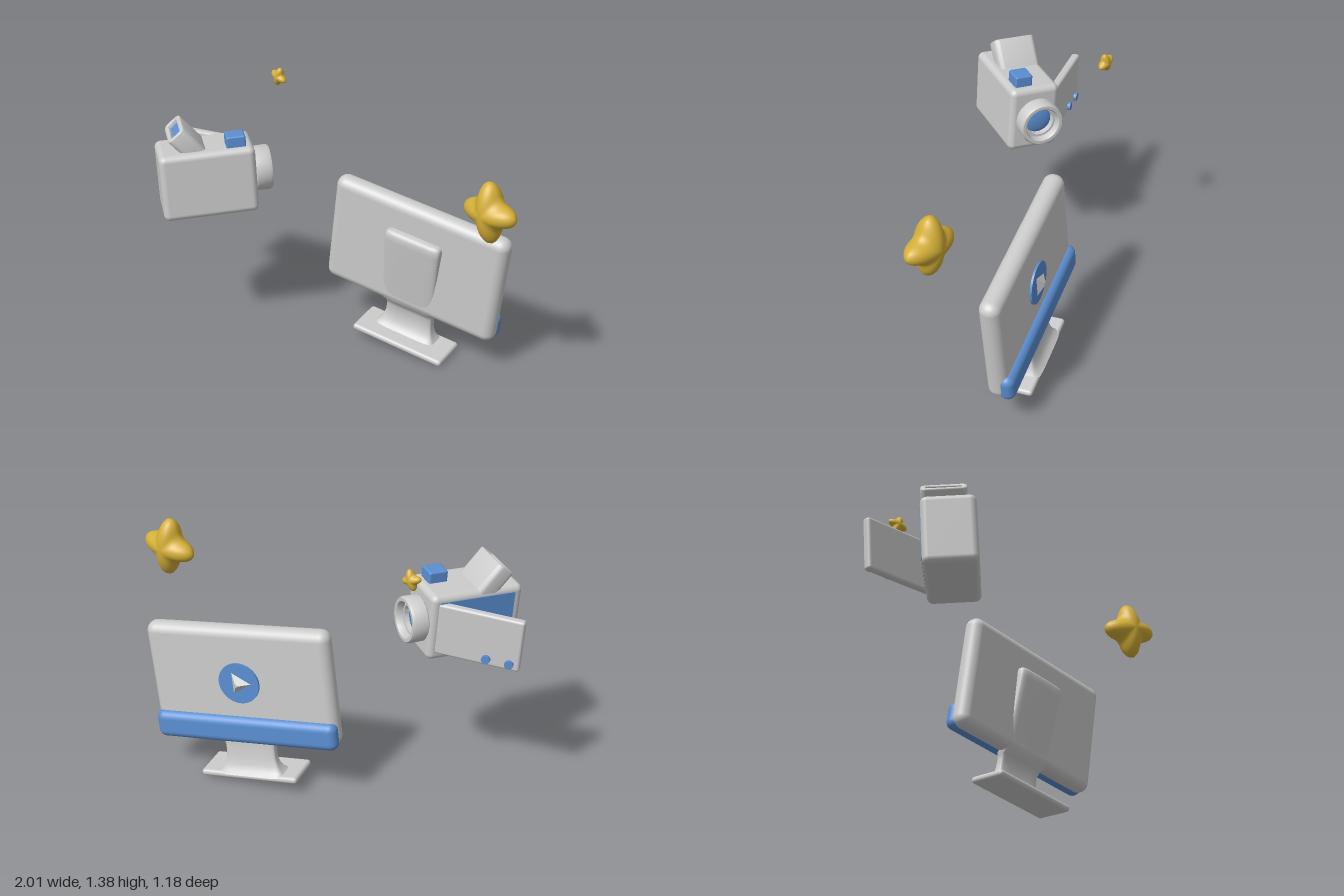
import * as THREE from 'three';
import { RoundedBoxGeometry } from 'three/addons/geometries/RoundedBoxGeometry.js';
import { mergeVertices, toCreasedNormals } from 'three/addons/utils/BufferGeometryUtils.js';

const flat = (name, color) => {
  const m = new THREE.MeshStandardMaterial({ color });
  m.name = name;
  return m;
};

// Adds a named mesh to a parent
function add(parent, name, geometry, material, x = 0, y = 0, z = 0) {
  const mesh = new THREE.Mesh(geometry, material);
  mesh.name = name;
  mesh.position.set(x, y, z);
  parent.add(mesh);
  return mesh;
}

// Group turned by yaw, then rolled in the front plane
function tilted(parent, name, pos, yaw, roll) {
  const g = new THREE.Group();
  g.name = name;
  g.position.set(...pos);
  g.rotation.set(0, yaw, roll, 'ZYX');
  parent.add(g);
  return g;
}

const box = (w, h, d, r) => new RoundedBoxGeometry(w, h, d, 5, r);

// Rounded rectangle outline
function roundRect(Type, w, h, r) {
  const s = new Type(), x = w / 2 - r, y = h / 2 - r;
  s.absarc(x, y, r, 0, Math.PI / 2);
  s.absarc(-x, y, r, Math.PI / 2, Math.PI);
  s.absarc(-x, -y, r, Math.PI, Math.PI * 1.5);
  s.absarc(x, -y, r, Math.PI * 1.5, Math.PI * 2);
  s.closePath();
  return s;
}

// Smooth column through squarish sections [y, half width, half depth, z centre]
function loft(sections, n = 48) {
  const pos = [], idx = [];
  const sq = v => Math.sign(v) * Math.pow(Math.abs(v), 0.35);
  sections.forEach(([y, w, d, zc], j) => {
    for (let i = 0; i < n; i++) {
      const t = (i / n) * Math.PI * 2;
      pos.push(w * sq(Math.cos(t)), y, zc + d * sq(Math.sin(t)));
      if (j + 1 < sections.length) {
        const a = j * n + i, b = j * n + (i + 1) % n;
        idx.push(a, a + n, b, b, a + n, b + n);
      }
    }
  });
  const g = new THREE.BufferGeometry();
  g.setAttribute('position', new THREE.Float32BufferAttribute(pos, 3));
  g.setIndex(idx);
  g.computeVertexNormals();
  return g;
}

// Puffy four-pointed star made from a sphere
function starGeometry() {
  let g = new THREE.SphereGeometry(1, 64, 32).rotateX(Math.PI / 2);
  const p = g.attributes.position;
  for (let i = 0; i < p.count; i++) {
    const x = p.getX(i), y = p.getY(i), z = p.getZ(i);
    const r = 0.098 + 0.06 * Math.pow((1 + Math.cos(4 * Math.atan2(y, x))) / 2, 1.3);
    p.setXYZ(i, x * r, y * r, 0.079 * Math.sign(z) * Math.pow(Math.abs(z), 1.15));
  }
  g.deleteAttribute('uv');
  g.deleteAttribute('normal');
  g = mergeVertices(g, 1e-5);
  g.computeVertexNormals();
  return g;
}

export function createModel() {
  const model = new THREE.Group();
  model.name = 'screenAndCamcorder';
  const grey = flat('light grey', 0xcccccc);
  const blue = flat('blue', 0x5b8fd2);
  const gold = flat('gold', 0xd4af37);

  // Monitor, its screen facing local -z
  const monitor = tilted(model, 'monitor', [0.255, 0.562, -0.378], 0.29, -0.13);
  add(monitor, 'monitorCase', box(1.0, 0.63, 0.11, 0.052), grey);
  add(monitor, 'chinBar', box(1.0, 0.15, 0.085, 0.042), blue, 0, -0.246, -0.046);
  add(monitor, 'playDisc', new THREE.CylinderGeometry(0.11, 0.11, 0.016, 48).rotateX(Math.PI / 2),
    blue, 0, 0.02, -0.058);
  const arrow = new THREE.CylinderGeometry(0.012, 0.068, 0.03, 3).toNonIndexed();
  arrow.computeVertexNormals();
  arrow.rotateX(-Math.PI / 2).rotateZ(Math.PI);
  // Turn the triangle so that a corner points to local -x
  const px = arrow.attributes.position;
  let tip = 0;
  for (let i = 0; i < px.count; i++) {
    if (Math.hypot(px.getX(i), px.getY(i)) > 0.06) tip = Math.atan2(px.getY(i), px.getX(i));
  }
  arrow.rotateZ(Math.PI - tip);
  add(monitor, 'playArrow', arrow, grey, 0, 0.02, -0.08);

  // Stand: leaning neck that runs up the rear of the case, and a foot
  add(monitor, 'neck', loft([
    [-0.50, 0.185, 0.075, -0.02], [-0.48, 0.165, 0.052, -0.022], [-0.45, 0.148, 0.036, -0.025],
    [-0.41, 0.138, 0.028, -0.025], [-0.36, 0.136, 0.026, -0.022], [-0.33, 0.142, 0.032, -0.015],
    [-0.30, 0.158, 0.048, 0.0], [-0.26, 0.155, 0.05, 0.005], [-0.1, 0.155, 0.05, 0.022],
    [0.1, 0.16, 0.052, 0.047], [0.135, 0.16, 0.05, 0.05], [0.15, 0.152, 0.042, 0.05],
    [0.156, 0.135, 0.03, 0.05], [0.157, 0, 0, 0.05]]), grey);
  add(monitor, 'foot', box(0.535, 0.036, 0.216, 0.017), grey, 0.01, -0.508, 0.02);

  // Camcorder, its lens facing local -z
  const cam = tilted(model, 'camcorder', [-0.59, 0.95, 0.318], -0.53, 0.07);
  add(cam, 'camcorderBody', box(0.27, 0.355, 0.49, 0.032), grey);
  add(cam, 'screenRecess', new THREE.BoxGeometry(0.008, 0.27, 0.4), blue, -0.134, 0.01, 0);
  add(cam, 'shutterButton', box(0.095, 0.075, 0.1, 0.01), blue, 0.052, 0.198, -0.154);

  // Lens barrel with a stepped hollow and glass
  const barrel = [[0.1, 0], [0.115, 0.012], [0.117, 0.08], [0.11, 0.093], [0.094, 0.093],
    [0.088, 0.086], [0.086, 0.055], [0.074, 0.055], [0.072, 0.02], [0, 0.02]]
    .map(([r, y]) => new THREE.Vector2(r, y));
  const lens = new THREE.Group();
  lens.name = 'lens';
  lens.position.set(-0.01, 0.005, -0.238);
  lens.rotation.x = -Math.PI / 2;
  cam.add(lens);
  add(lens, 'lensBarrel', toCreasedNormals(new THREE.LatheGeometry(barrel, 48), 0.7), grey);
  add(lens, 'lensGlass', new THREE.SphereGeometry(0.071, 32, 10, 0, Math.PI * 2, 0, Math.PI / 2)
    .scale(1, 0.25, 1), blue, 0, 0.026, 0);

  // Raised viewfinder, hollow at its upper end
  const finder = new THREE.Group();
  finder.name = 'viewfinder';
  finder.position.set(-0.02, 0.272, 0.146);
  finder.rotation.x = -0.89;
  cam.add(finder);
  const tube = roundRect(THREE.Shape, 0.21, 0.09, 0.022);
  tube.holes.push(roundRect(THREE.Path, 0.19, 0.07, 0.014));
  const tubeGeo = new THREE.ExtrudeGeometry(tube, { depth: 0.19, bevelThickness: 0.008,
    bevelSize: 0.008, bevelSegments: 3, curveSegments: 6 });
  add(finder, 'viewfinderTube', toCreasedNormals(tubeGeo, 0.7), grey, 0, 0, -0.198);
  add(finder, 'viewfinderGlass', new THREE.BoxGeometry(0.195, 0.075, 0.008), blue, 0, 0, -0.025);

  // Fold-out screen with two round buttons
  const flip = tilted(model, 'foldOutScreen', [-0.79, 0.938, 0.152], 0.31, 0.07);
  add(flip, 'foldOutPanel', box(0.43, 0.275, 0.044, 0.014), grey);
  for (const x of [-0.165, -0.05]) {
    add(flip, 'panelButton', new THREE.CylinderGeometry(0.022, 0.022, 0.02, 24).rotateX(Math.PI / 2),
      blue, x, -0.1, -0.028);
  }

  // Floating stars
  const star = starGeometry();
  add(model, 'largeStar', star, gold, 0.843, 1.105, -0.257).rotation.z = 0.09;
  const small = add(model, 'smallStar', star, gold, -0.632, 1.336, -0.21);
  small.rotation.z = -0.3;
  small.scale.setScalar(0.34);

  return model;
}
